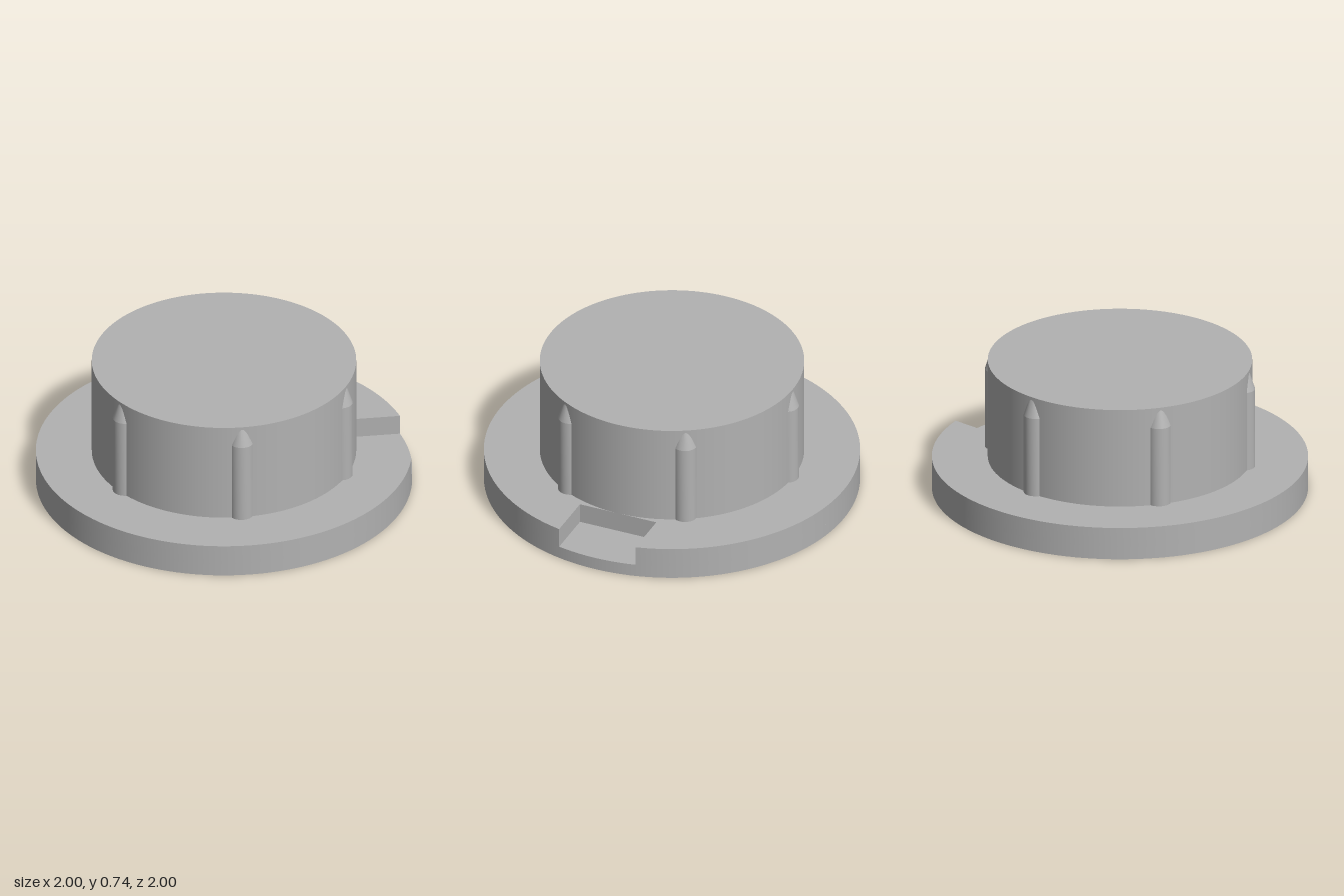
import * as THREE from 'three';
import { toCreasedNormals } from 'three/addons/utils/BufferGeometryUtils.js';

export function createModel() {
  const grey = new THREE.MeshStandardMaterial({ color: 0xb2b2b2 });
  grey.name = 'grey';
  const model = new THREE.Group();
  model.name = 'knob';

  const add = (name, geometry, y) => {
    const mesh = new THREE.Mesh(geometry, grey);
    mesh.name = name;
    mesh.position.y = y;
    model.add(mesh);
    return mesh;
  };

  // Flange: a full disc below, a notched ring layer above
  const notchFloor = 0.07, flangeTop = 0.18, notchHalf = 0.222, notchInner = 0.703;
  add('flangeBase', new THREE.CylinderGeometry(1, 1, notchFloor, 128), notchFloor / 2);

  const a = Math.asin(notchHalf);
  const outline = new THREE.Shape();
  outline.moveTo(notchInner, -notchHalf);
  outline.lineTo(notchInner, notchHalf);
  outline.lineTo(Math.cos(a), notchHalf);
  outline.absarc(0, 0, 1, a, Math.PI * 2 - a, false);
  outline.closePath();
  const upper = new THREE.ExtrudeGeometry(outline, {
    depth: flangeTop - notchFloor, bevelEnabled: false, curveSegments: 128,
  });
  upper.rotateX(-Math.PI / 2);
  add('notchedFlange', toCreasedNormals(upper, 0.4), notchFloor);

  // Raised round body
  const bodyTop = 0.735;
  add('body', new THREE.CylinderGeometry(0.703, 0.703, bodyTop - flangeTop, 128), (bodyTop + flangeTop) / 2);

  // Six half-sunk grip ribs with tapered tips
  const ribGeometry = toCreasedNormals(new THREE.LatheGeometry([
    new THREE.Vector2(0.065, flangeTop),
    new THREE.Vector2(0.065, 0.625),
    new THREE.Vector2(0.033, 0.725),
    new THREE.Vector2(0, 0.725),
  ], 32).toNonIndexed(), 0.25);
  for (let i = 0; i < 6; i++) {
    const t = Math.PI / 6 + (i * Math.PI) / 3;
    const rib = add('gripRib', ribGeometry, 0);
    rib.position.x = 0.668 * Math.cos(t);
    rib.position.z = 0.668 * Math.sin(t);
  }
  return model;
}
